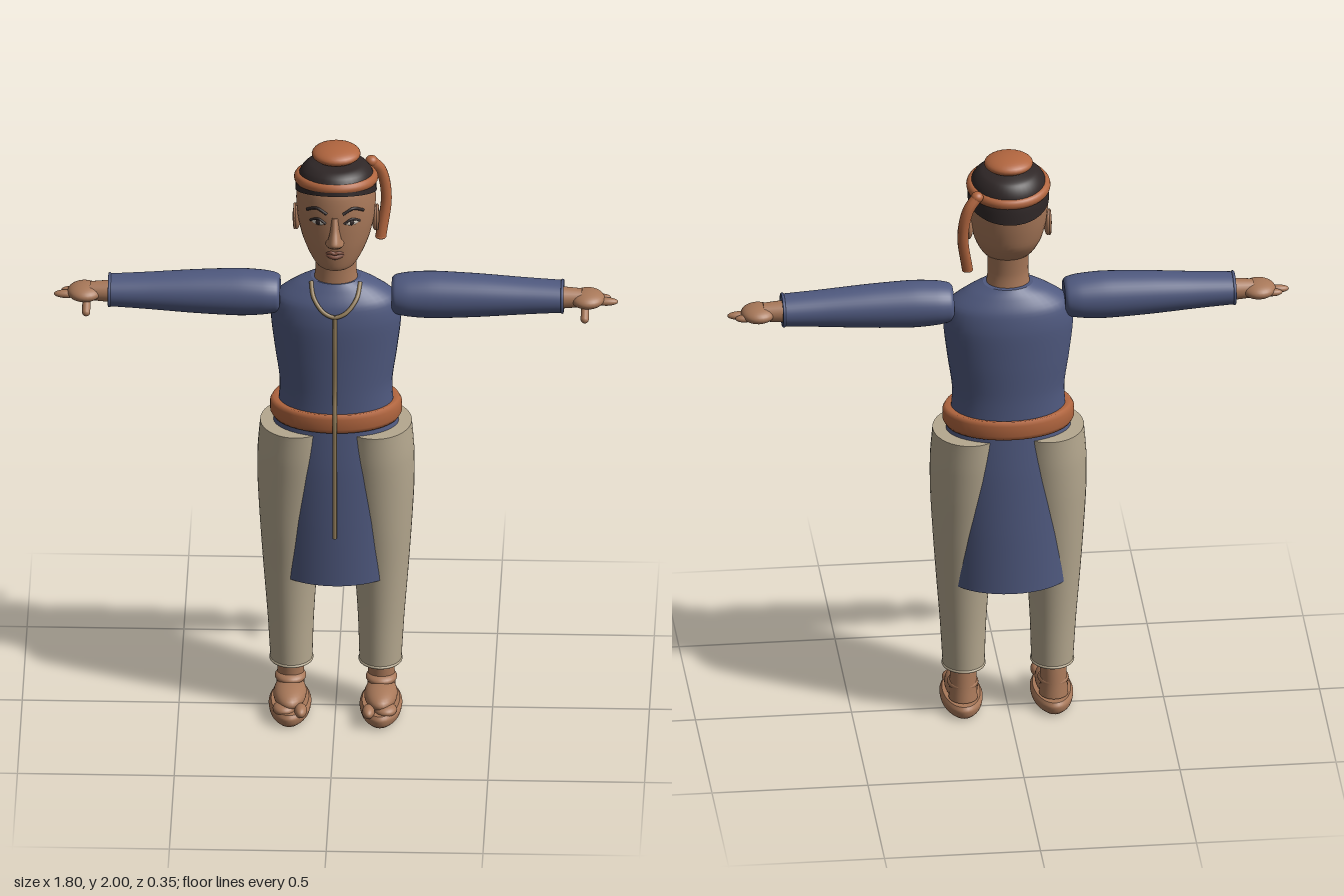
import * as THREE from 'three';

const mat = (name, color, side = THREE.FrontSide) => {
  const m = new THREE.MeshStandardMaterial({ color, side });
  m.name = name;
  return m;
};

// Smooth loft up the y axis; each section is [y, centreX, radiusX, centreZ, radiusZ], bottom first.
// tilt shears the rings so that their height follows z.
function loft(sections, { rows = 32, seg = 40, capBottom = true, capTop = true, tilt = () => 0 } = {}) {
  const a = new THREE.CatmullRomCurve3(sections.map(s => new THREE.Vector3(s[0], s[1], s[2])), false, 'catmullrom', 0.4);
  const b = new THREE.CatmullRomCurve3(sections.map(s => new THREE.Vector3(s[3], s[4], 0)), false, 'catmullrom', 0.4);
  const pos = [], idx = [];
  const ring = t => {
    const p = a.getPoint(t), q = b.getPoint(t);
    for (let i = 0; i < seg; i++) {
      const u = (i / seg) * Math.PI * 2;
      const z = q.x + Math.cos(u) * q.y;
      pos.push(p.y + Math.sin(u) * p.z, p.x + z * tilt(t), z);
    }
    return [p.y, p.x + q.x * tilt(t), q.x];
  };
  for (let j = 0; j <= rows; j++) ring(j / rows);
  for (let j = 0; j < rows; j++) for (let i = 0; i < seg; i++) {
    const p = j * seg + i, q = j * seg + (i + 1) % seg;
    idx.push(p, q, q + seg, p, q + seg, p + seg);
  }
  // caps use their own vertices so that the rim stays sharp
  const cap = (t, up) => {
    const start = pos.length / 3;
    pos.push(...ring(t));
    const c = start + seg;
    for (let i = 0; i < seg; i++) {
      const p = start + i, q = start + (i + 1) % seg;
      up ? idx.push(c, p, q) : idx.push(c, q, p);
    }
  };
  if (capBottom) cap(0, false);
  if (capTop) cap(1, true);
  const g = new THREE.BufferGeometry();
  g.setAttribute('position', new THREE.Float32BufferAttribute(pos, 3));
  g.setIndex(idx);
  g.computeVertexNormals();
  return g;
}

const ball = (x, y, z, rx, ry, rz) => new THREE.SphereGeometry(1, 28, 18).scale(rx, ry, rz).translate(x, y, z);
const tube = (points, r, n = 32) => new THREE.TubeGeometry(
  new THREE.CatmullRomCurve3(points.map(p => new THREE.Vector3(...p))), n, r, 10);

export function createModel() {
  const root = new THREE.Group();
  root.name = 'figure';
  const skin = mat('skin', 0xa87859), blue = mat('blue cloth', 0x4f597f, THREE.DoubleSide);
  const orange = mat('orange cloth', 0xb2663f), beige = mat('beige cloth', 0xb5a88f);
  const hair = mat('dark hair', 0x2f2727), cord = mat('tan cord', 0x8f7a58);
  const white = mat('eye white', 0xd8d0c4), lip = mat('lips', 0x80503f);
  const add = (name, geometry, material, parent = root) => {
    const m = new THREE.Mesh(geometry, material);
    m.name = name;
    parent.add(m);
    return m;
  };

  // tunic body and open skirt
  add('tunicBody', loft([
    [1.02, 0, 0.2, -0.02, 0.127], [1.08, 0, 0.185, -0.02, 0.122], [1.17, 0, 0.18, -0.02, 0.12],
    [1.28, 0, 0.195, -0.022, 0.122], [1.4, 0, 0.208, -0.022, 0.122], [1.47, 0, 0.195, -0.022, 0.11],
    [1.515, 0, 0.135, -0.022, 0.085], [1.54, 0, 0.08, -0.02, 0.067]]), blue);
  add('tunicSkirt', loft([
    [0.49, 0, 0.2, -0.027, 0.147], [0.7, 0, 0.198, -0.025, 0.144],
    [0.9, 0, 0.197, -0.022, 0.137], [1.06, 0, 0.19, -0.02, 0.125]],
  { capBottom: false, capTop: false }), blue);

  // belt, a rounded band
  const beltProfile = [[0.85, 1.045], [0.96, 1.04], [1, 1.055], [1, 1.09], [0.96, 1.105], [0.85, 1.1]]
    .map(p => new THREE.Vector2(...p));
  add('belt', new THREE.LatheGeometry(beltProfile, 48).scale(0.21, 1, 0.147).translate(0, 0, -0.023), orange);

  // neck and head
  add('neck', loft([[1.52, 0, 0.072, -0.015, 0.06], [1.58, 0, 0.065, -0.014, 0.055], [1.68, 0, 0.068, -0.02, 0.058]]), skin);
  add('head', loft([
    [1.602, 0, 0.025, 0.045, 0.025], [1.615, 0, 0.06, 0.03, 0.062], [1.65, 0, 0.086, 0.008, 0.092],
    [1.7, 0, 0.108, -0.008, 0.113], [1.76, 0, 0.122, -0.015, 0.122], [1.82, 0, 0.127, -0.02, 0.126],
    [1.88, 0, 0.122, -0.025, 0.122], [1.92, 0, 0.1, -0.03, 0.1], [1.94, 0, 0.06, -0.03, 0.06]]), skin);
  add('hairCap', loft([
    [1.855, 0, 0.13, -0.024, 0.13], [1.89, 0, 0.127, -0.026, 0.125], [1.925, 0, 0.112, -0.03, 0.112],
    [1.945, 0, 0.088, -0.032, 0.09], [1.955, 0, 0.04, -0.032, 0.04]],
  { tilt: t => 0.3 * (1 - t), capBottom: false }), hair);
  add('headband', new THREE.TorusGeometry(1, 0.14, 14, 48).rotateX(Math.PI / 2)
    .scale(0.118, 0.13, 0.115).rotateX(-0.12).translate(0, 1.892, -0.026), orange);
  add('topKnot', ball(0, 1.972, -0.032, 0.078, 0.028, 0.075), orange);
  add('headbandTail', tube([[0.11, 1.9, -0.12], [0.14, 1.86, -0.133], [0.157, 1.77, -0.132], [0.14, 1.635, -0.108]], 0.018), orange);
  add('headbandTailTop', ball(0.11, 1.9, -0.12, 0.02, 0.018, 0.02), orange);
  add('headbandTailEnd', ball(0.14, 1.635, -0.108, 0.018, 0.008, 0.018), orange);

  // nose and mouth
  add('nose', loft([[1.708, 0, 0.024, 0.105, 0.022], [1.722, 0, 0.03, 0.112, 0.036], [1.736, 0, 0.022, 0.116, 0.042],
    [1.77, 0, 0.014, 0.108, 0.026], [1.81, 0, 0.01, 0.1, 0.012]], { seg: 20, rows: 20 }), skin);
  add('upperLip', tube([[-0.034, 1.675, 0.088], [-0.012, 1.684, 0.103], [0, 1.681, 0.105], [0.012, 1.684, 0.103], [0.034, 1.675, 0.088]], 0.006), lip);
  add('lowerLip', tube([[-0.03, 1.674, 0.09], [0, 1.667, 0.104], [0.03, 1.674, 0.09]], 0.007), lip);

  // necklace with its long hanging cord
  add('necklace', tube([[-0.078, 1.535, 0.02], [-0.068, 1.5, 0.068], [-0.035, 1.463, 0.097], [0, 1.45, 0.102],
    [0.035, 1.463, 0.097], [0.068, 1.5, 0.068], [0.078, 1.535, 0.02]], 0.007, 48), cord);
  add('hangingCord', tube([[0, 1.455, 0.1], [0, 1.35, 0.105], [0, 1.18, 0.106], [0, 1.09, 0.128], [0, 1.0, 0.13], [0, 0.67, 0.134]], 0.007, 48), cord);

  for (const s of [1, -1]) {
    const side = s > 0 ? 'left' : 'right';
    const part = (name, g, m, parent) => add(side + name, g, m, parent);

    // face details
    const eye = (rx, ry, rz, z) => new THREE.SphereGeometry(1, 20, 12).scale(rx, ry, rz).rotateY(s * 0.42).translate(s * 0.054, 1.79, z);
    part('EyeWhite', eye(0.023, 0.01, 0.005, 0.093), white);
    part('Iris', eye(0.009, 0.0095, 0.004, 0.096), hair);
    part('UpperLid', tube([[s * 0.029, 1.788, 0.104], [s * 0.053, 1.802, 0.096], [s * 0.079, 1.79, 0.08]], 0.004, 16), hair);
    part('Eyebrow', tube([[s * 0.025, 1.822, 0.103], [s * 0.058, 1.838, 0.091], [s * 0.09, 1.822, 0.068]], 0.005, 16), hair);
    part('Ear', ball(s * 0.126, 1.748, -0.025, 0.013, 0.046, 0.027), skin);
    part('EarRim', new THREE.TorusGeometry(1, 0.22, 10, 28).rotateY(Math.PI / 2)
      .scale(0.02, 0.038, 0.022).translate(s * 0.132, 1.748, -0.025), skin);

    // sleeve, lofted upright and then laid along x
    const lay = g => g.rotateZ(-s * Math.PI / 2).translate(0, 1.474, -0.02);
    part('Sleeve', lay(loft([
      [0.178, 0, 0.052, 0, 0.058], [0.19, 0, 0.062, 0, 0.068], [0.23, 0, 0.07, 0, 0.076], [0.31, 0, 0.075, 0, 0.078],
      [0.45, 0, 0.069, 0, 0.073], [0.6, 0, 0.058, 0, 0.065], [0.725, 0, 0.05, 0, 0.06]])), blue);
    part('SleeveCuff', lay(new THREE.TorusGeometry(1, 0.08, 10, 36).rotateX(Math.PI / 2)
      .scale(0.05, 0.06, 0.058).translate(0, 0.722, 0)), blue);
    part('Wrist', new THREE.CylinderGeometry(0.03, 0.036, 0.07, 24).rotateZ(-s * Math.PI / 2).translate(s * 0.75, 1.47, -0.02), skin);

    // hand
    part('Palm', ball(s * 0.802, 1.468, 0.002 - 0.022, 0.055, 0.027, 0.058), skin);
    part('Finger', ball(s * 0.86, 1.46, -0.015, 0.04, 0.013, 0.016), skin);
    part('SecondFinger', ball(s * 0.845, 1.461, -0.04, 0.032, 0.012, 0.015), skin);
    part('Thumb', new THREE.CapsuleGeometry(0.013, 0.05, 6, 14).rotateX(-1).translate(s * 0.795, 1.44, 0.025), skin);

    // trouser leg with a rolled hem
    part('TrouserLeg', loft([
      [0.165, s * 0.142, 0.067, -0.01, 0.074], [0.32, s * 0.144, 0.074, -0.013, 0.08], [0.49, s * 0.145, 0.086, -0.016, 0.092],
      [0.65, s * 0.142, 0.1, -0.018, 0.108], [0.8, s * 0.135, 0.115, -0.02, 0.122], [0.92, s * 0.13, 0.12, -0.02, 0.132],
      [1.02, s * 0.126, 0.116, -0.02, 0.136]]), beige);
    part('TrouserHem', new THREE.TorusGeometry(1, 0.07, 10, 36).rotateX(Math.PI / 2)
      .scale(0.066, 0.07, 0.073).translate(s * 0.142, 0.168, -0.01), beige);

    // ankle, foot and sandal sole
    part('Ankle', loft([[0.05, s * 0.145, 0.046, -0.025, 0.05], [0.1, s * 0.145, 0.043, -0.022, 0.046], [0.2, s * 0.143, 0.041, -0.015, 0.044]]), skin);
    part('Instep', ball(s * 0.145, 0.065, 0.04, 0.053, 0.036, 0.105), skin);
    part('AnkleStrap', ball(s * 0.145, 0.1, -0.012, 0.05, 0.022, 0.056), skin);
    part('Sole', loft([[0, s * 0.145, 0.052, 0.037, 0.12], [0.012, s * 0.145, 0.064, 0.037, 0.134],
      [0.032, s * 0.145, 0.068, 0.037, 0.138], [0.046, s * 0.145, 0.06, 0.037, 0.13]], { rows: 12 }), skin);
    part('BigToe', ball(s * 0.108, 0.05, 0.138, 0.02, 0.02, 0.036), skin);
    part('SmallToes', ball(s * 0.162, 0.048, 0.118, 0.036, 0.02, 0.04), skin);
  }
  return root;
}
